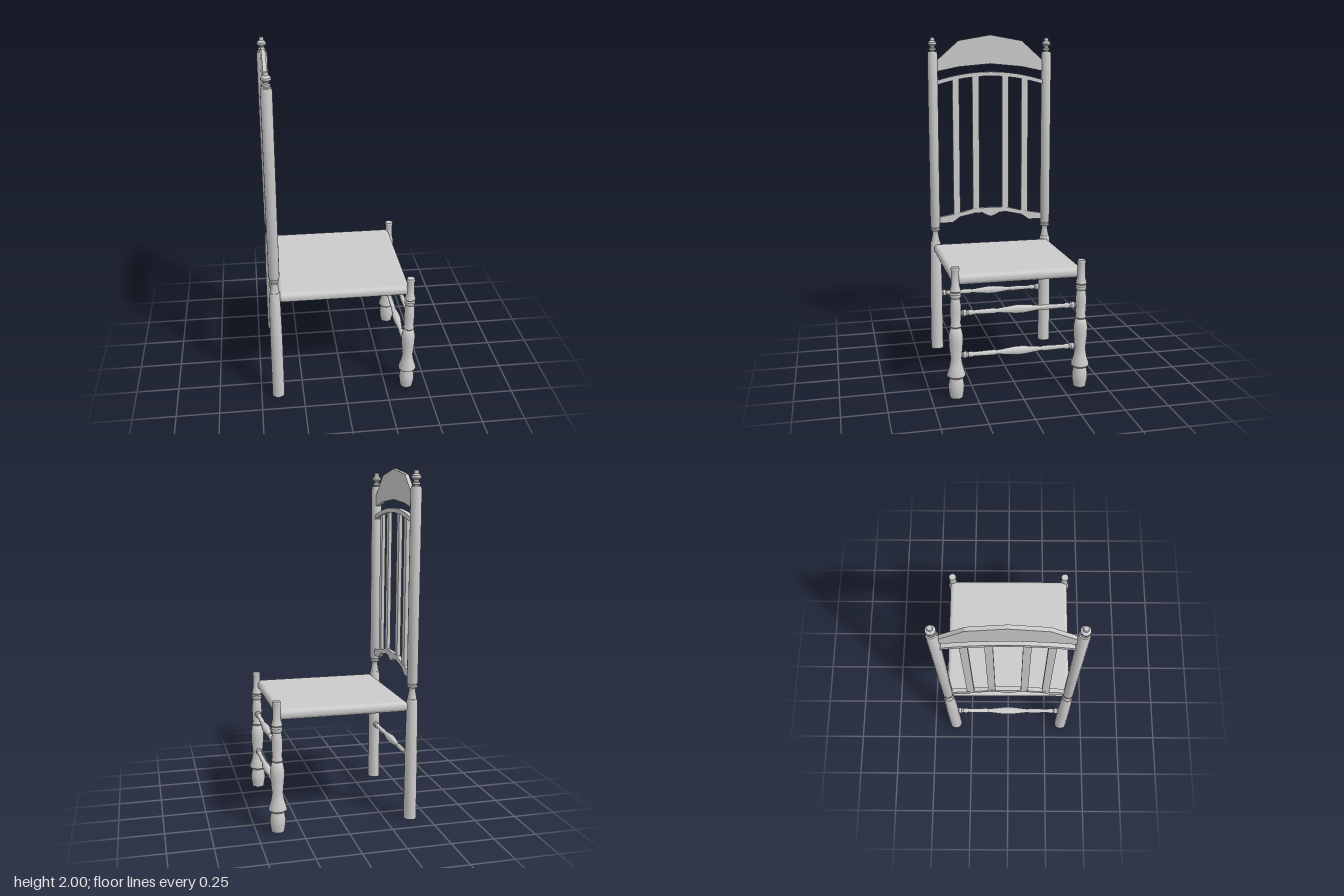
import * as THREE from 'three';
import { toCreasedNormals } from 'three/addons/utils/BufferGeometryUtils.js';
import { RoundedBoxGeometry } from 'three/addons/geometries/RoundedBoxGeometry.js';

const BACK_X = -0.4, FRONT_X = 0.38, POST_Z = 0.36;
const material = new THREE.MeshStandardMaterial({ color: 0xcccccc });

function add(group, name, geometry, x = 0, y = 0, z = 0) {
  const mesh = new THREE.Mesh(geometry, material);
  mesh.name = name;
  mesh.position.set(x, y, z);
  group.add(mesh);
  return mesh;
}

// Turned wood from [radius, height] pairs
function turned(profile) {
  const points = profile.map(([r, y]) => new THREE.Vector2(r, y));
  return toCreasedNormals(new THREE.LatheGeometry(points, 16), 0.6);
}

// Board cut from a symmetric outline: half edges as [z, y] from the end to the middle
function board(topHalf, bottomHalf, depth) {
  const whole = (half) => [...half, ...half.filter(([z]) => z > 0).reverse().map(([z, y]) => [-z, y])];
  const outline = [...whole(topHalf), ...whole(bottomHalf).reverse()];
  const shape = new THREE.Shape(outline.map(([z, y]) => new THREE.Vector2(z, y)));
  const geometry = new THREE.ExtrudeGeometry(shape, { depth, bevelEnabled: false });
  return geometry.translate(0, 0, -depth / 2).rotateY(-Math.PI / 2);
}

export function createModel() {
  const chair = new THREE.Group();
  chair.name = 'chair';

  // Turned parts
  const backLeg = turned([[0, 0], [0.037, 0], [0.036, 0.4], [0.031, 0.7], [0.028, 0.715], [0, 0.715]]);
  const backPost = turned([
    [0.027, 0.7], [0.026, 0.72], [0.018, 0.765], [0.02, 0.775], [0.029, 0.785], [0.029, 0.795], [0.025, 0.8],
    [0.031, 0.81], [0.031, 1.88], [0.027, 1.9], [0, 1.9],
  ]);
  const finial = turned([
    [0.015, 1.895], [0.015, 1.905], [0.022, 1.908], [0.022, 1.917], [0.014, 1.922], [0.016, 1.932],
    [0.027, 1.942], [0.026, 1.953], [0.014, 1.965], [0.013, 1.982], [0, 1.985],
  ]);
  const frontLeg = turned([
    [0, 0], [0.036, 0], [0.043, 0.04], [0.045, 0.07], [0.037, 0.115], [0.042, 0.12], [0.052, 0.128], [0.052, 0.138],
    [0.038, 0.18], [0.031, 0.225], [0.039, 0.31], [0.04, 0.36], [0.033, 0.395], [0.025, 0.405], [0.032, 0.415],
    [0.028, 0.43], [0.031, 0.5], [0.03, 0.54], [0.025, 0.575], [0.031, 0.585], [0.031, 0.598], [0.024, 0.605],
    [0.032, 0.615], [0.023, 0.65], [0.022, 0.73], [0.025, 0.738], [0.022, 0.75], [0, 0.75],
  ]);
  for (const [side, sign] of [['right', -1], ['left', 1]]) {
    const z = sign * POST_Z;
    add(chair, side + 'BackLeg', backLeg, BACK_X, 0, z).scale.z = 1.07;
    add(chair, side + 'BackPost', backPost, BACK_X, 0, z);
    add(chair, side + 'Finial', finial, BACK_X, 0, z);
    add(chair, side + 'FrontLeg', frontLeg, FRONT_X, 0, z);
  }

  // Seat
  add(chair, 'seat', new RoundedBoxGeometry(0.755, 0.058, 0.75, 4, 0.026), -0.002, 0.67, 0);

  // Stretchers: beaded ends and a swollen middle
  const half = [[0.013, 0.34], [0.012, 0.325], [0.019, 0.318], [0.019, 0.302], [0.012, 0.292], [0.016, 0.28],
    [0.016, 0.27], [0.012, 0.262], [0.015, 0.14], [0.011, 0.13]];
  const stretcher = turned([
    ...half.map(([r, y]) => [r, -y]), [0.024, -0.02], [0.024, 0.02], ...half.slice().reverse(),
  ]).rotateX(Math.PI / 2);
  add(chair, 'upperFrontStretcher', stretcher, FRONT_X, 0.487, 0);
  add(chair, 'lowerFrontStretcher', stretcher, FRONT_X, 0.243, 0);
  add(chair, 'backStretcher', stretcher, BACK_X, 0.365, 0);

  // Crest board
  add(chair, 'crest', board(
    [[0.345, 1.835], [0.33, 1.85], [0.2, 1.965], [0, 2]],
    [[0.345, 1.777], [0.33, 1.78], [0.2, 1.807], [0, 1.825]], 0.022), BACK_X);

  // Arched rail above the slats
  const arch = [];
  for (let i = 0; i <= 8; i++) arch.push([0.34 * (1 - i / 8), 1.71 + 0.053 * (1 - (1 - i / 8) ** 2)]);
  add(chair, 'archedRail', board(
    arch.map(([z, y]) => [z, y + 0.013]), arch.map(([z, y]) => [z, y - 0.013]), 0.03), BACK_X);

  // Shaped rail below the slats
  add(chair, 'lowerRail', board(
    [[0.345, 0.865], [0.33, 0.868], [0.21, 0.888], [0.1, 0.916], [0, 0.918]],
    [[0.345, 0.83], [0.25, 0.83], [0.2, 0.865], [0.1, 0.886], [0.055, 0.885], [0.025, 0.868], [0, 0.86]], 0.024), BACK_X);

  // Slats
  for (const z of [-0.22, -0.095, 0.095, 0.22]) {
    const top = 1.74 + (Math.abs(z) < 0.1 ? 0.015 : -0.005), bottom = Math.abs(z) < 0.1 ? 0.9 : 0.875;
    add(chair, 'slat', new THREE.BoxGeometry(0.02, top - bottom, 0.042), BACK_X, (top + bottom) / 2, z);
  }
  return chair;
}
